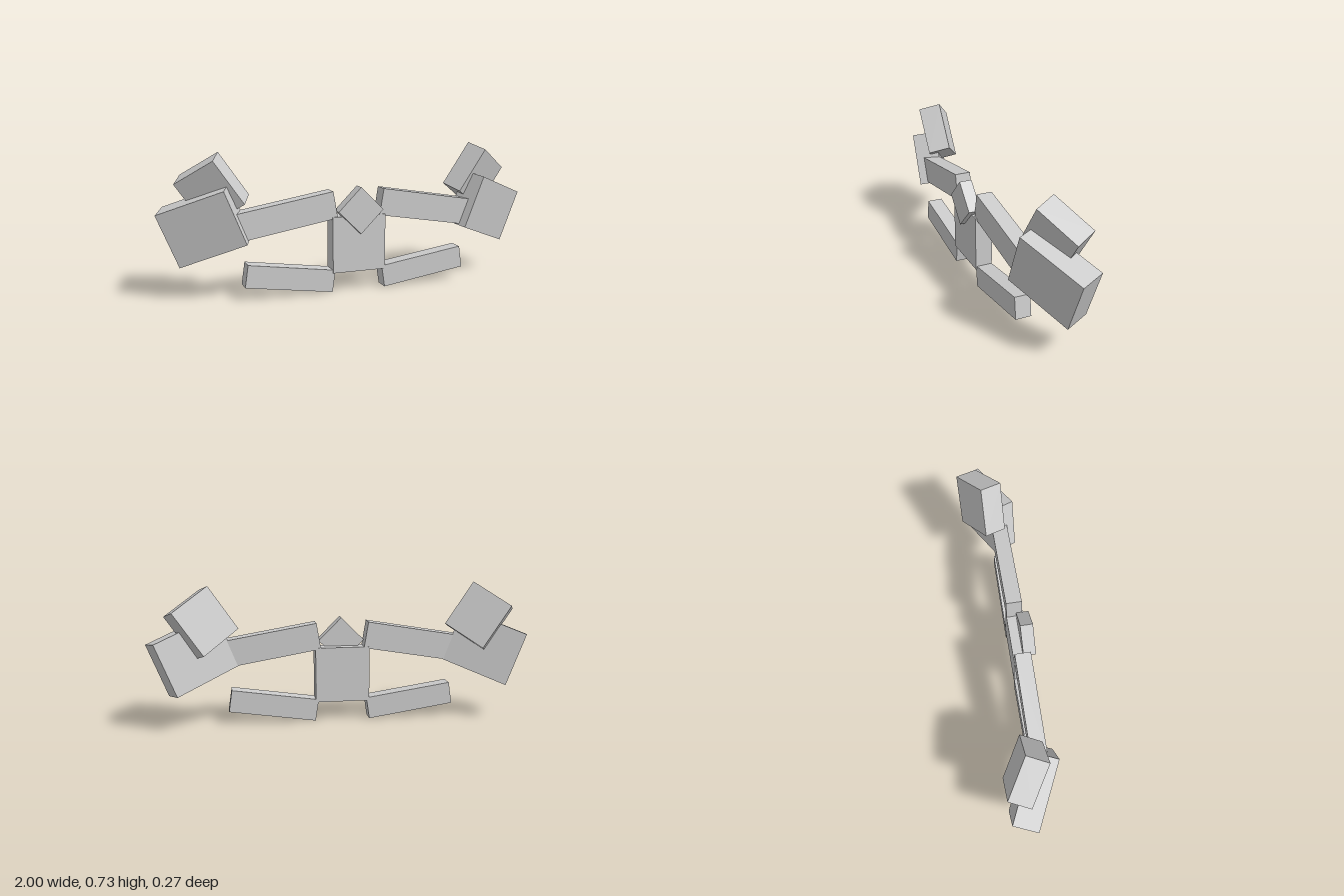
import * as THREE from 'three';

export function createModel() {
  const model = new THREE.Group();
  const grey = new THREE.MeshStandardMaterial({ color: 0xcccccc });
  grey.name = 'light grey';
  const rad = THREE.MathUtils.degToRad;

  // Box turned about y (yaw), then about z (roll), both in degrees
  function block(name, size, position, roll = 0, yaw = 0) {
    const mesh = new THREE.Mesh(new THREE.BoxGeometry(...size), grey);
    mesh.name = name;
    mesh.position.set(...position);
    mesh.rotation.set(0, rad(yaw), rad(roll), 'ZYX');
    model.add(mesh);
  }

  // Torso, with the head as a cube standing on its corner
  block('torso', [0.285, 0.29, 0.09], [0, 0.245, 0.059]);
  block('head', [0.17, 0.17, 0.065], [0, 0.42, 0.0975], 45);

  // Limbs, mirrored
  for (const [side, s] of [['left', 1], ['right', -1]]) {
    const limb = (part, size, [x, y, z], roll, yaw = 0) =>
      block(side + part, size, [s * x, y, z], s * roll, s * yaw);

    limb('UpperArm', [0.5, 0.139, 0.082], [0.372, 0.411, 0.056], -9.6);
    limb('Forearm', [0.359, 0.288, 0.131], [0.7705, 0.3745, 0.005], -21.6, 23.7);
    limb('Hand', [0.236, 0.263, 0.12], [0.7215, 0.5455, -0.028], -34.2, 27.5);
    limb('Leg', [0.457, 0.115, 0.082], [0.362, 0.0905, 0.056], 8.4);
  }
  return model;
}
